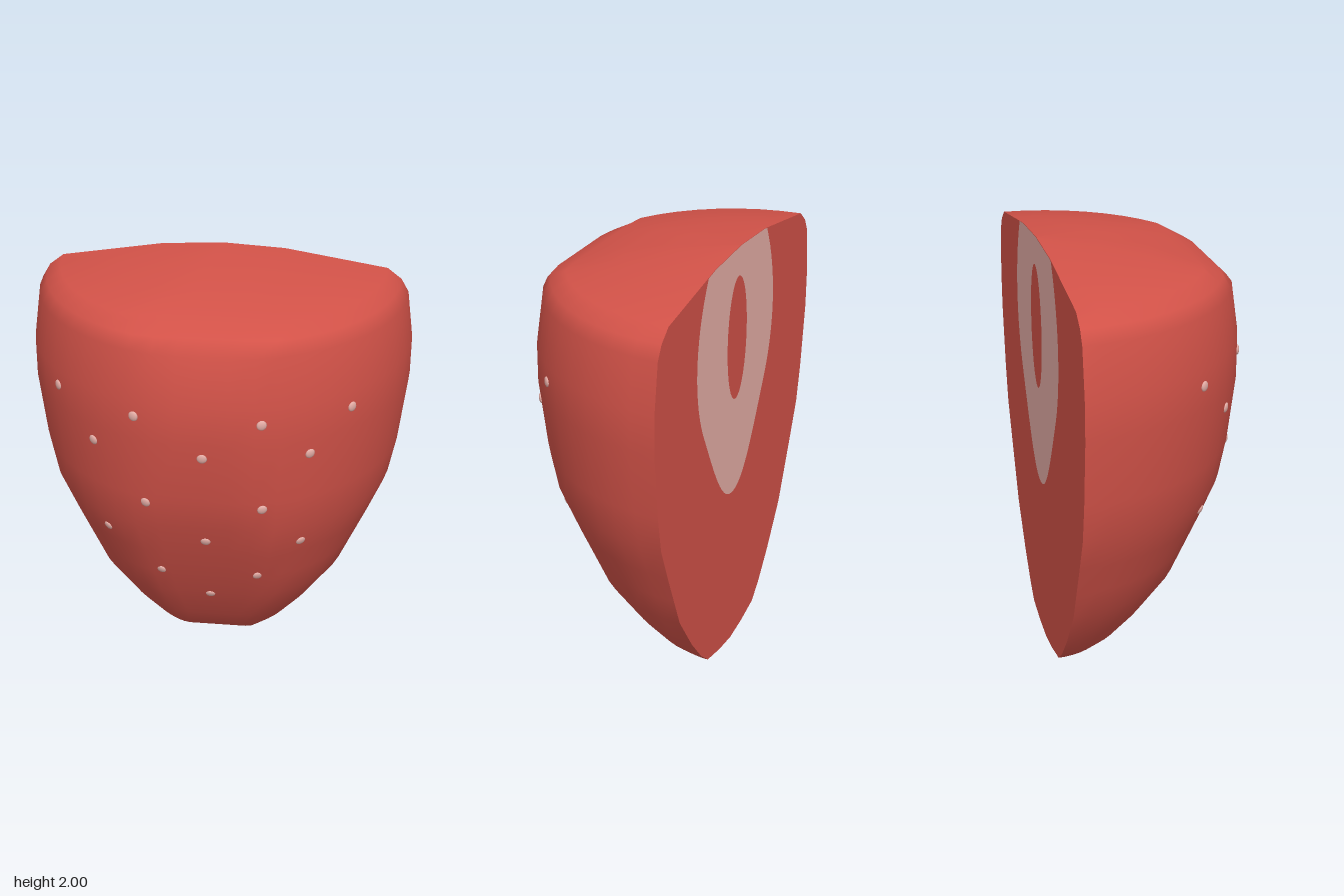
import * as THREE from 'three';

const BACK = -0.437;
// body profile: height, half width, depth from the cut plane
const ROWS = [
  [0.005, 0, 0], [0.02, 0.14, 0.11], [0.05, 0.28, 0.23], [0.12, 0.36, 0.32],
  [0.25, 0.47, 0.43], [0.45, 0.61, 0.545], [0.6, 0.675, 0.62], [0.75, 0.74, 0.69],
  [0.92, 0.81, 0.76], [1.1, 0.845, 0.82], [1.4, 0.88, 0.865], [1.58, 0.88, 0.87],
  [1.8, 0.85, 0.83], [1.86, 0.815, 0.77], [1.91, 0.75, 0.66], [1.95, 0.5, 0.48],
  [1.985, 0.28, 0.26], [2, 0, 0],
];

// half-round section with a flattened front
const sectionPoint = ([y, w, d], a) =>
  new THREE.Vector3(w * Math.sin(a), y, BACK + Math.min(w * Math.cos(a), d));

function rowAt(y) {
  const i = Math.max(1, ROWS.findIndex((r) => r[0] >= y));
  const [p, q] = [ROWS[i - 1], ROWS[i]];
  const t = (y - p[0]) / (q[0] - p[0]);
  return p.map((v, k) => v + (q[k] - v) * t);
}

function bodyGeometry(segments = 24) {
  const positions = [], index = [];
  ROWS.forEach((row, i) => {
    for (let j = 0; j <= segments; j++) {
      positions.push(...sectionPoint(row, (j / segments - 0.5) * Math.PI).toArray());
      if (i === ROWS.length - 1 || j === segments) continue;
      const a = i * (segments + 1) + j, b = a + segments + 1;
      if (i > 0) index.push(a, a + 1, b + 1);
      if (i < ROWS.length - 2) index.push(a, b + 1, b);
      else index.push(a, a + 1, b);
      if (i === 0) index.push(a, b + 1, b);
    }
  });
  const g = new THREE.BufferGeometry();
  g.setAttribute('position', new THREE.Float32BufferAttribute(positions, 3));
  g.setIndex(index);
  g.computeVertexNormals();
  return g;
}

export function createModel() {
  const group = new THREE.Group();
  const red = new THREE.MeshStandardMaterial({ color: 0xd25248 });
  red.name = 'berry red';
  const pale = new THREE.MeshStandardMaterial({ color: 0xe4ada6 });
  pale.name = 'pale pink';

  const add = (name, geometry, material) => {
    const mesh = new THREE.Mesh(geometry, material);
    mesh.name = name;
    group.add(mesh);
    return mesh;
  };

  // rounded half fruit
  add('body', bodyGeometry(), red);

  // flat cut side, with the pale flesh and the core laid on it
  const cutPlate = (name, shape, material, lift) => {
    const mesh = add(name, new THREE.ShapeGeometry(shape, 16), material);
    mesh.rotation.y = Math.PI;
    mesh.position.z = BACK - lift;
  };
  const outline = [
    ...ROWS.map(([y, w]) => new THREE.Vector2(w, y)),
    ...ROWS.slice(1, -1).reverse().map(([y, w]) => new THREE.Vector2(-w, y)),
  ];
  cutPlate('cutFace', new THREE.Shape(outline), red, 0);

  const cx = -0.025;
  const flesh = new THREE.Shape();
  flesh.moveTo(cx - 0.33, 1.973);
  flesh.bezierCurveTo(cx - 0.47, 1.73, cx - 0.47, 1.45, cx - 0.34, 1.23);
  flesh.bezierCurveTo(cx - 0.2, 0.97, cx - 0.12, 0.82, cx, 0.82);
  flesh.bezierCurveTo(cx + 0.12, 0.82, cx + 0.2, 0.97, cx + 0.34, 1.23);
  flesh.bezierCurveTo(cx + 0.47, 1.45, cx + 0.47, 1.73, cx + 0.33, 1.979);
  flesh.lineTo(0.28, 1.985);
  flesh.lineTo(0, 2);
  flesh.lineTo(-0.28, 1.985);
  cutPlate('paleFlesh', flesh, pale, 0.002);

  const core = new THREE.Shape();
  core.absellipse(cx, 1.58, 0.11, 0.29, 0, Math.PI * 2);
  cutPlate('core', core, red, 0.004);

  // seeds dotted over the rounded side
  const seeds = [
    [-0.68, 1.51], [-0.3, 1.51], [0.255, 1.505], [0.63, 1.505],
    [-0.5, 1.325], [0, 1.335], [0.46, 1.33], [-0.26, 1.07], [0.26, 1.065],
    [-0.465, 0.83], [0, 0.84], [0.425, 0.825], [-0.22, 0.615], [0.23, 0.61], [0, 0.435],
  ];
  const seedGeometry = new THREE.SphereGeometry(0.023, 10, 8).scale(1, 1, 0.4);
  for (const [x, y] of seeds) {
    const row = rowAt(y), a = Math.asin(x / row[1]);
    const slope = (rowAt(y + 0.05)[1] - rowAt(y - 0.05)[1]) / 0.1;
    const seed = add('seed', seedGeometry, pale);
    seed.position.copy(sectionPoint(row, a));
    const normal = new THREE.Vector3(Math.sin(a), -slope, Math.cos(a));
    seed.lookAt(seed.position.clone().add(normal));
  }
  return group;
}
